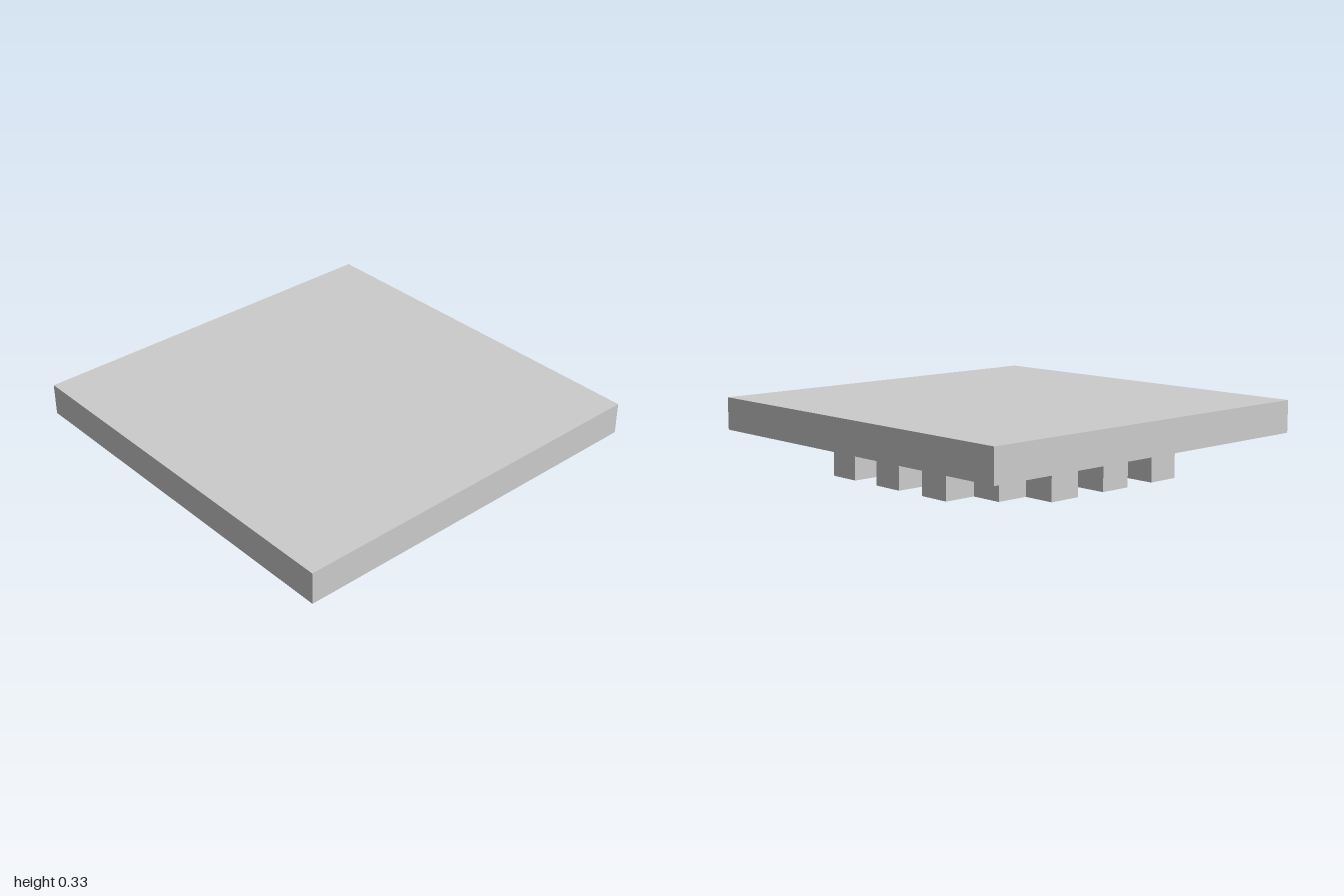
import * as THREE from 'three';

const CELL = 1 / 6; // stud size and grid pitch
const COUNT = 10;   // grid cells per side

export function createModel() {
  const group = new THREE.Group();
  const material = new THREE.MeshStandardMaterial({ color: 0xcccccc, flatShading: true });

  // Square slab
  const slab = new THREE.Mesh(new THREE.BoxGeometry(2, CELL, 2), material);
  slab.name = 'slab';
  slab.position.y = CELL * 1.5;
  group.add(slab);

  // Checkerboard of cubic studs under the slab, with its corners left out
  const studs = new THREE.Group();
  studs.name = 'studs';
  const cube = new THREE.BoxGeometry(CELL, CELL, CELL);
  const middle = (COUNT - 1) / 2;
  for (let i = 0; i < COUNT; i++) {
    for (let j = 0; j < COUNT; j++) {
      const sum = i + j;
      const inCorner = sum < 1 || sum > 17 || Math.abs(i - j) > 6;
      if (sum % 2 === 1 || inCorner) continue;
      const stud = new THREE.Mesh(cube, material);
      stud.name = 'stud';
      stud.position.set((i - middle) * CELL, CELL / 2, (j - middle) * CELL);
      studs.add(stud);
    }
  }
  group.add(studs);
  return group;
}
